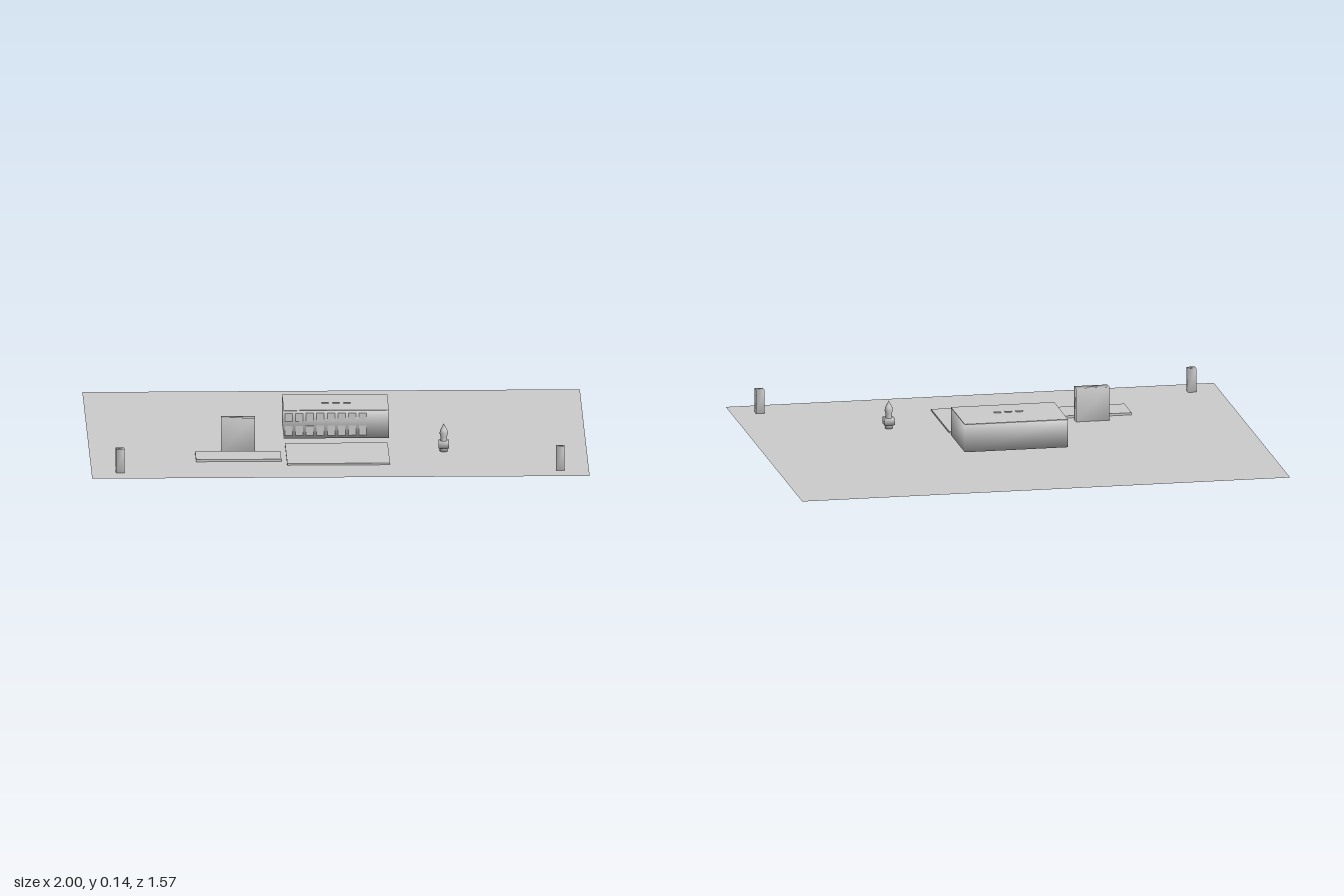
import * as THREE from 'three';
import { mergeVertices } from 'three/addons/utils/BufferGeometryUtils.js';

export function createModel() {
  const model = new THREE.Group();
  const grey = new THREE.MeshStandardMaterial({ color: 0xcccccc, side: THREE.DoubleSide });
  grey.name = 'plain grey';

  const add = (name, geometry, x = 0, y = 0, z = 0) => {
    const mesh = new THREE.Mesh(geometry, grey);
    mesh.name = name;
    mesh.position.set(x, y, z);
    model.add(mesh);
    return mesh;
  };

  // Box given by its extents; soft boxes share normals across their edges
  const box = (name, [x0, x1], [y0, y1], [z0, z1], soft = false) => {
    let g = new THREE.BoxGeometry(x1 - x0, y1 - y0, z1 - z0);
    if (soft) {
      g.deleteAttribute('normal');
      g.deleteAttribute('uv');
      g = mergeVertices(g);
      g.computeVertexNormals();
    }
    return add(name, g, (x0 + x1) / 2, (y0 + y1) / 2, (z0 + z1) / 2);
  };

  // Ground sheet
  add('ground', new THREE.PlaneGeometry(2, 1.57).rotateX(-Math.PI / 2));

  // Main building, softly shaded walls under a flat roof
  box('buildingWalls', [-0.213, 0.21], [0.01, 0.124], [-0.165, 0.12], true);
  box('buildingRoof', [-0.213, 0.21], [0.124, 0.126], [-0.165, 0.12]);

  // Two rows of front windows
  for (let i = 0; i < 8; i++) {
    const x = -0.208 + i * 0.0425;
    box('upperWindow', [x, x + 0.03], [0.08, 0.114], [0.119, 0.122]);
    box('lowerWindow', [x, x + 0.03], [0.022, 0.062], [0.119, 0.121]);
  }

  // Roof vents
  for (const x of [-0.045, 0, 0.045]) {
    box('roofVent', [x - 0.014, x + 0.014], [0.125, 0.13], [-0.009, -0.001]);
  }

  // Paved slabs
  box('forecourt', [-0.21, 0.203], [0, 0.007], [0.19, 0.562]);
  box('sidePatio', [-0.575, -0.232], [0, 0.009], [0.34, 0.49]);

  // Upright board behind the patio
  box('signBoard', [-0.47, -0.333], [0, 0.138], [0.27, 0.312], true);

  // Pointed ornament with a square collar
  const profile = [[0, 0], [0.016, 0], [0.016, 0.016], [0.013, 0.042],
    [0.013, 0.06], [0.017, 0.075], [0.014, 0.088], [0, 0.114]];
  add('ornament', new THREE.LatheGeometry(
    profile.map(([r, y]) => new THREE.Vector2(r, y)), 12), 0.425, 0, 0.32);
  box('ornamentCollar', [0.404, 0.446], [0.016, 0.043], [0.299, 0.341], true);

  // Front corner posts
  for (const s of [-1, 1]) {
    const x = s * 0.885;
    box('cornerPost', [x - 0.017, x + 0.017], [0, 0.098], [0.652, 0.685], true);
  }

  return model;
}
